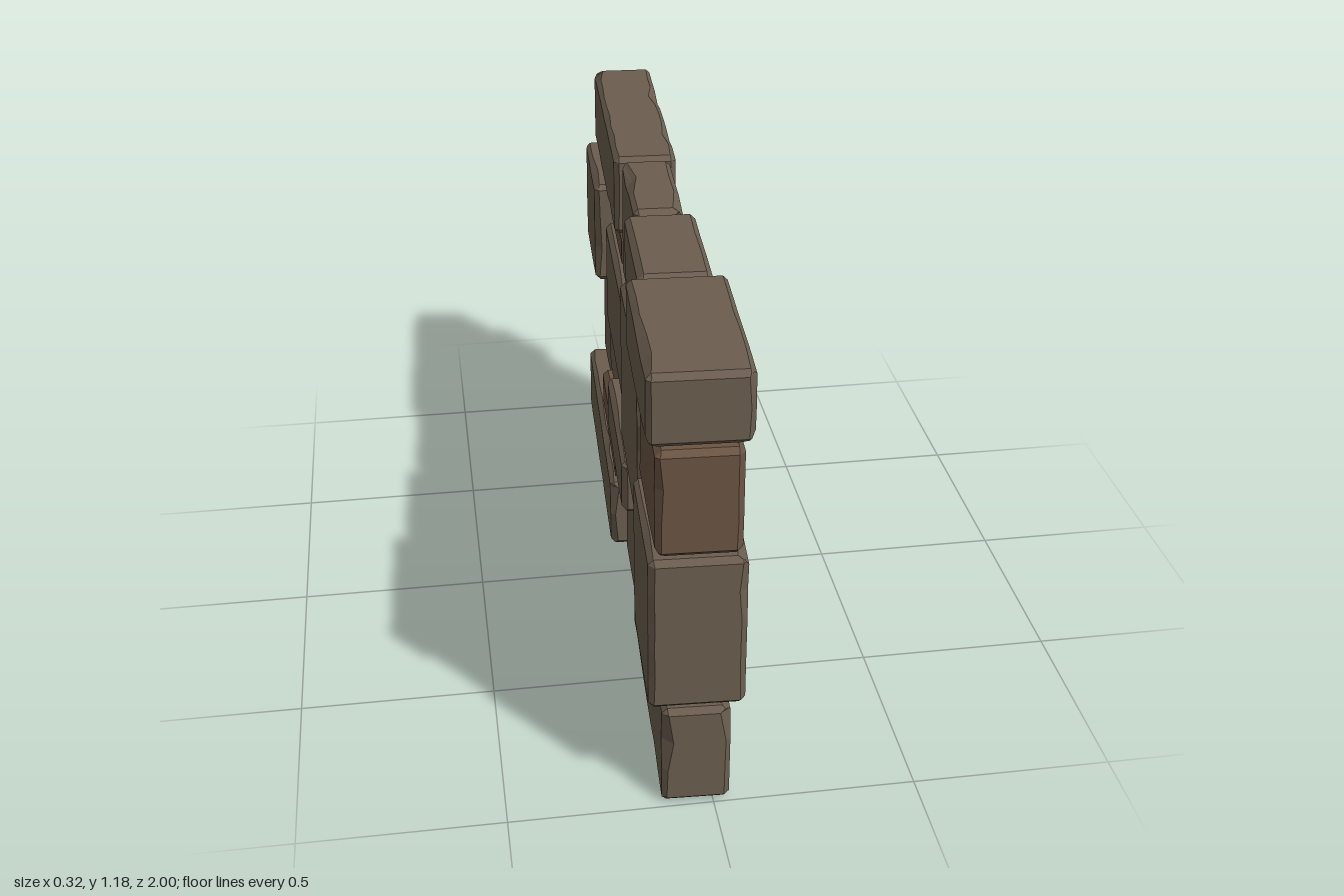
import * as THREE from 'three';

const BEVEL = 0.014;
const GREY = 0x6b5e4f, BROWN = 0x6b5544;

// Small repeatable noise in 0..1
const noise = (n) => {
  const s = Math.sin(n * 12.9898) * 43758.5453;
  return s - Math.floor(s);
};

// Box with chamfered edges; the chamfer width varies along each edge so it looks chipped
function stoneGeometry(w, h, d, seed) {
  const size = [w, h, d];
  const segs = [3, Math.max(4, Math.round(h / 0.06)), Math.max(5, Math.round(d / 0.07))];
  const geo = new THREE.BoxGeometry(1, 1, 1, ...segs);
  const pos = geo.attributes.position;

  // Chamfer width on the edge shared by faces a and b, at step k along it
  const chamfer = (a, b, idx) => {
    const c = 3 - a - b;
    const side = (i) => (idx[i] > segs[i] / 2 ? 1 : 0);
    const lo = Math.min(a, b), hi = Math.max(a, b);
    const key = seed * 71 + c * 23 + side(lo) * 7 + side(hi) * 13 + idx[c] * 3.7;
    if (c === 0) return BEVEL;
    const chip = noise(key) > 0.78 ? 0.018 * noise(key + 0.5) : 0;
    return BEVEL * (0.75 + 0.4 * noise(key + 0.2)) + chip;
  };

  for (let v = 0; v < pos.count; v++) {
    const p = [pos.getX(v), pos.getY(v), pos.getZ(v)];
    const idx = p.map((q, i) => Math.round((q + 0.5) * segs[i]));
    const ends = [0, 1, 2].filter((i) => idx[i] === 0 || idx[i] === segs[i]);
    const out = p.map((_, i) => {
      const half = size[i] / 2, s = segs[i], sign = idx[i] > s / 2 ? 1 : -1;
      if (ends.includes(i)) {
        if (ends.length === 1) return sign * half;
        if (ends.length === 3) return sign * (half - BEVEL * 2 / 3);
        return sign * (half - chamfer(ends[0], ends[1], idx) / 2);
      }
      if (ends.length === 1 && (idx[i] === 1 || idx[i] === s - 1)) {
        return sign * (half - chamfer(ends[0], i, idx));
      }
      return (half - BEVEL) * (2 * (idx[i] - 1) / (s - 2) - 1);
    });
    pos.setXYZ(v, ...out);
  }
  geo.computeVertexNormals();
  return geo;
}

// Stones: name, z from, z to, y from, y to, thickness, colour
const STONES = [
  ['topStoneFront', 0.505, 0.995, 1.0, 1.18, 0.24, GREY],
  ['topStoneFrontInner', 0.125, 0.495, 1.0, 1.175, 0.18, GREY],
  ['topStoneMiddle', -0.235, 0.115, 0.845, 1.178, 0.13, GREY],
  ['topStoneBack', -0.995, -0.245, 0.955, 1.18, 0.17, GREY],
  ['upperStoneFront', 0.62, 0.995, 0.715, 0.99, 0.2, BROWN],
  ['largeStoneFront', 0.125, 0.61, 0.525, 0.99, 0.205, GREY],
  ['largeStoneMiddle', -0.61, 0.115, 0.525, 0.838, 0.168, GREY],
  ['thinStoneUpper', -0.61, -0.25, 0.845, 0.942, 0.13, BROWN],
  ['upperStoneBack', -0.995, -0.62, 0.638, 0.947, 0.23, GREY],
  ['middleStoneFront', 0.62, 0.995, 0.29, 0.705, 0.23, GREY],
  ['middleStoneInner', 0.265, 0.61, 0.29, 0.515, 0.13, BROWN],
  ['middleStoneCentre', -0.235, 0.255, 0.358, 0.515, 0.225, GREY],
  ['middleStoneShort', -0.61, -0.245, 0.352, 0.515, 0.15, GREY],
  ['middleStoneBack', -0.988, -0.62, 0.225, 0.628, 0.13, GREY],
  ['thinStoneLower', -0.61, -0.13, 0.222, 0.342, 0.2, BROWN],
  ['bottomStoneFront', 0.26, 0.995, 0.004, 0.282, 0.165, GREY],
  ['bottomStoneMiddle', -0.115, 0.25, 0, 0.348, 0.14, GREY],
  ['bottomStoneBack', -0.995, -0.125, 0.004, 0.215, 0.23, GREY],
];

export function createModel() {
  const wall = new THREE.Group();
  wall.name = 'stoneWall';
  const materials = {};
  for (const c of [GREY, BROWN]) {
    materials[c] = new THREE.MeshStandardMaterial({ color: c, flatShading: true });
  }

  STONES.forEach(([name, z0, z1, y0, y1, thick, color], i) => {
    const mesh = new THREE.Mesh(stoneGeometry(thick, y1 - y0, z1 - z0, i + 1), materials[color]);
    mesh.name = name;
    mesh.position.set(0, (y0 + y1) / 2, (z0 + z1) / 2);
    wall.add(mesh);
  });

  // The wall runs slightly askew of the z axis
  wall.rotation.y = -0.043;
  const model = new THREE.Group();
  model.name = 'wallSection';
  model.add(wall);
  return model;
}
